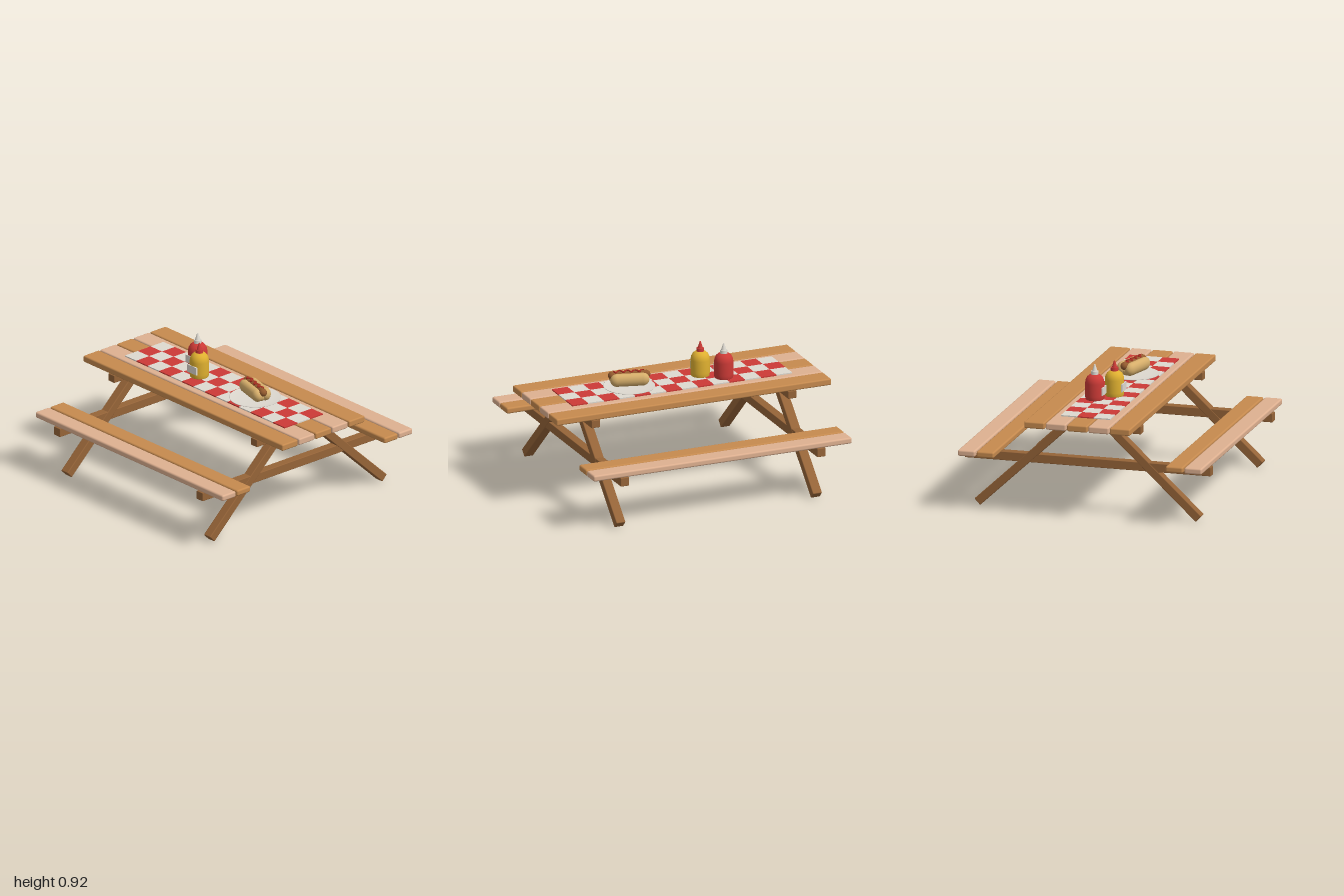
import * as THREE from 'three';
import { mergeGeometries } from 'three/addons/utils/BufferGeometryUtils.js';
import { RoundedBoxGeometry } from 'three/addons/geometries/RoundedBoxGeometry.js';

const mat = (name, color) => {
  const m = new THREE.MeshStandardMaterial({ color });
  m.name = name;
  return m;
};

export function createModel() {
  const wood = mat('plank wood', 0xc68a4e);
  const paleWood = mat('pale wood', 0xdeb090);
  const darkWood = mat('frame wood', 0x966438);
  const white = mat('off white', 0xdeD9d0);
  const red = mat('red', 0xcc3a36);
  const yellow = mat('mustard yellow', 0xdfb030);
  const bunTan = mat('bun tan', 0xd6ae6a);
  const brown = mat('sausage brown', 0x935a2e);
  const darkRed = mat('sauce red', 0xa82c20);

  const model = new THREE.Group();
  model.name = 'picnicTable';

  const add = (parent, name, geometry, material, x = 0, y = 0, z = 0) => {
    const mesh = new THREE.Mesh(geometry, material);
    mesh.name = name;
    mesh.position.set(x, y, z);
    parent.add(mesh);
    return mesh;
  };
  const beam = (w, h, d, r) => new RoundedBoxGeometry(w, h, d, 2, r);

  // Table top: five planks in alternating wood
  for (let i = -2; i <= 2; i++) {
    add(model, 'tablePlank', beam(2, 0.046, 0.14, 0.01), i % 2 ? paleWood : wood, 0, 0.653, i * 0.149);
  }

  // Benches: two planks on each side
  for (const s of [-1, 1]) {
    add(model, 'benchInnerPlank', beam(1.88, 0.042, 0.121, 0.012), wood, 0, 0.405, s * 0.658);
    add(model, 'benchOuterPlank', beam(1.88, 0.042, 0.121, 0.012), paleWood, 0, 0.405, s * 0.789);
  }

  // Two end frames: cross beams and splayed legs
  for (const x of [-0.715, 0.715]) {
    const frame = new THREE.Group();
    frame.name = 'endFrame';
    frame.position.x = x;
    model.add(frame);
    add(frame, 'topBeam', beam(0.062, 0.053, 0.74, 0.004), darkWood, 0, 0.604, 0);
    add(frame, 'benchBeam', beam(0.062, 0.06, 1.71, 0.004), darkWood, 0, 0.355, 0);
    for (const s of [-1, 1]) {
      const foot = [0.77, 0.024], top = [0.138, 0.615];
      const dz = top[0] - foot[0], dy = top[1] - foot[1];
      const leg = add(frame, 'leg', beam(0.066, Math.hypot(dz, dy), 0.058, 0.006), darkWood,
        0, (foot[1] + top[1]) / 2, s * (foot[0] + top[0]) / 2);
      leg.rotation.x = Math.atan2(s * dz, dy);
    }
  }

  // Chequered runner, one merged mesh per colour
  const cells = [[], []];
  const size = 1.6 / 14;
  for (let row = 0; row < 3; row++) {
    for (let col = 0; col < 14; col++) {
      const cell = new THREE.BoxGeometry(size, 0.008, size);
      cell.translate((col - 6.5) * size, 0.68, (row - 1) * size);
      cells[(row + col) % 2].push(cell);
    }
  }
  add(model, 'runnerWhiteSquares', mergeGeometries(cells[0]), white);
  add(model, 'runnerRedSquares', mergeGeometries(cells[1]), red);

  // Lathe from [radius, height] pairs, bottom to top
  const lathe = (pts, seg = 32) => new THREE.LatheGeometry(pts.map(p => new THREE.Vector2(...p)), seg);

  // Squeeze bottles: body, collar, nozzle and label
  const bottle = (name, x, z, bodyMat, capMat) => {
    const g = new THREE.Group();
    g.name = name;
    g.position.set(x, 0.683, z);
    model.add(g);
    add(g, 'bottleBody', lathe([[0, 0], [0.058, 0], [0.063, 0.005], [0.065, 0.03], [0.065, 0.115],
      [0.061, 0.137], [0.052, 0.155], [0.038, 0.168], [0.024, 0.174], [0, 0.175]]), bodyMat);
    add(g, 'collar', new THREE.CylinderGeometry(0.025, 0.026, 0.022, 24), capMat, 0, 0.184, 0);
    add(g, 'nozzle', new THREE.CylinderGeometry(0.004, 0.018, 0.046, 24), capMat, 0, 0.218, 0);
    add(g, 'label', new THREE.BoxGeometry(0.092, 0.054, 0.009), white, 0, 0.065, 0.064);
  };
  bottle('redBottle', -0.345, -0.072, red, white);
  bottle('yellowBottle', -0.217, 0.027, yellow, red);

  // Plate
  add(model, 'plate', lathe([[0, 0], [0.11, 0], [0.172, 0.01], [0.174, 0.013], [0.171, 0.014],
    [0.115, 0.006], [0, 0.006]], 48), white, 0.312, 0.684, 0);

  // Hot dog, turned slightly on the plate
  const hotDog = new THREE.Group();
  hotDog.name = 'hotDog';
  hotDog.position.set(0.312, 0.69, 0);
  hotDog.rotation.y = -0.26;
  model.add(hotDog);
  const capsule = (r, length) => new THREE.CapsuleGeometry(r, length - 2 * r, 10, 20).rotateZ(Math.PI / 2);
  for (const s of [-1, 1]) {
    const bun = add(hotDog, 'bunHalf', capsule(0.045, 0.265), bunTan, 0, 0.058, s * 0.031);
    bun.scale.z = 0.8;
    bun.rotation.x = s * 0.15;
  }
  add(hotDog, 'bunBase', capsule(0.034, 0.24), bunTan, 0, 0.046, 0);
  add(hotDog, 'sausage', capsule(0.027, 0.285), brown, 0, 0.083, 0);

  // Wavy sauce line along the sausage
  const wave = [];
  for (let i = 0; i <= 32; i++) {
    const z = 0.014 * Math.sin(i * Math.PI / 4);
    wave.push(new THREE.Vector3((i / 32 - 0.5) * 0.21, 0.083 + Math.sqrt(0.028 ** 2 - z * z), z));
  }
  add(hotDog, 'sauce', new THREE.TubeGeometry(new THREE.CatmullRomCurve3(wave), 96, 0.006, 8), darkRed);

  return model;
}
